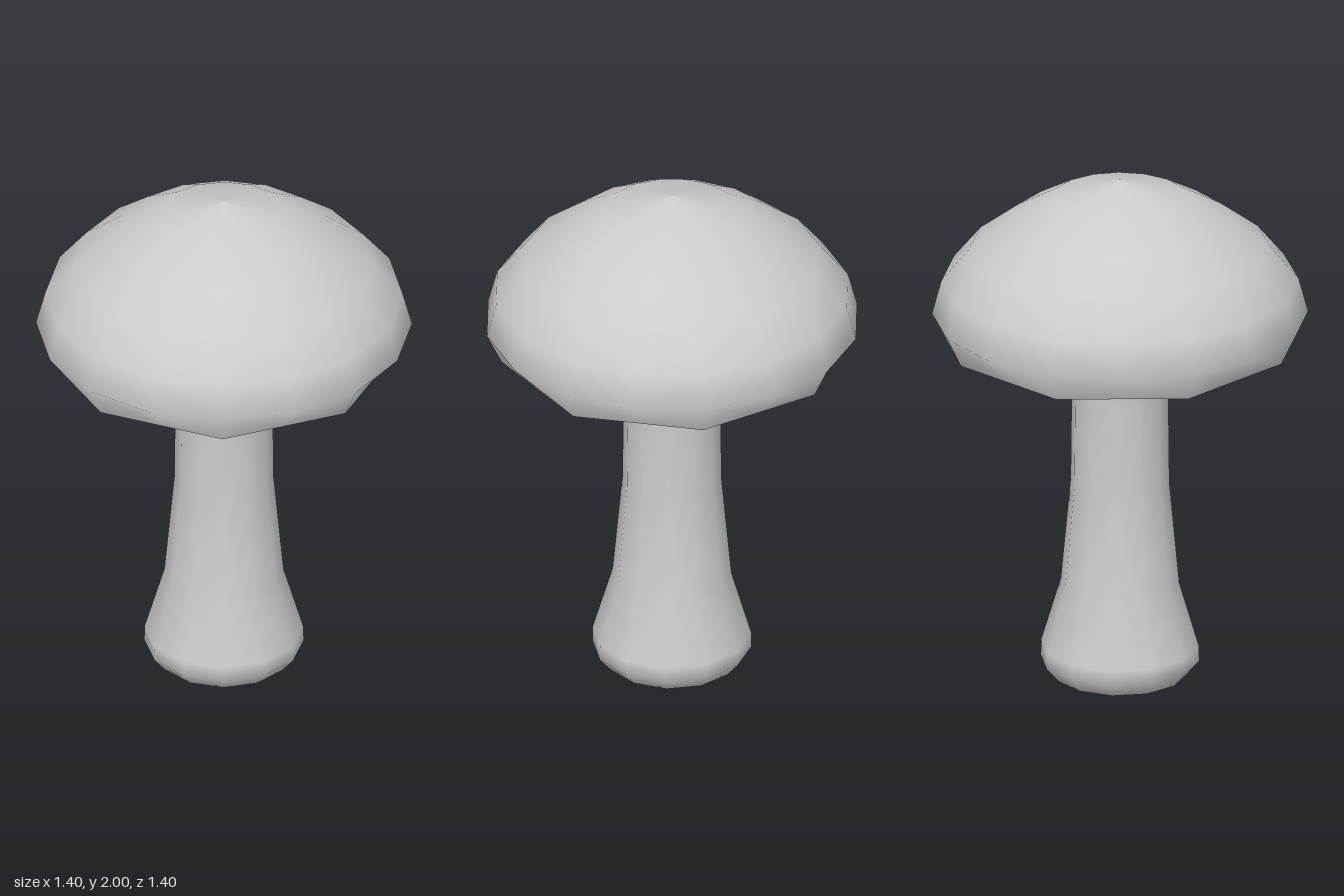
import * as THREE from 'three';

const material = new THREE.MeshStandardMaterial({ color: 0xcccccc });

// Smooth surface of revolution; the profile runs from bottom to top.
function turned(name, profile, sides) {
  const points = profile.map(([r, y]) => new THREE.Vector2(r, y));
  const mesh = new THREE.Mesh(new THREE.LatheGeometry(points, sides), material);
  mesh.name = name;
  return mesh;
}

export function createModel() {
  const group = new THREE.Group();
  group.name = 'mushroom';

  // Cap: sixteen-sided dome whose lower rim narrows to an octagon
  const rim = 0.645, rimY = 1.355;
  const cap = turned('cap', [
    [rim, rimY], [0.7, 1.47], [0.665, 1.6], [0.558, 1.73],
    [0.405, 1.845], [0.25, 1.932], [0, 2],
  ], 16);
  const pos = cap.geometry.attributes.position;
  const rows = pos.count / 17;
  for (let i = 1; i < 17; i += 2) {
    const k = i * rows;
    const s = Math.cos(Math.PI / 8);
    pos.setX(k, pos.getX(k) * s);
    pos.setZ(k, pos.getZ(k) * s);
  }
  group.add(cap);

  // Flat underside closing the cap with a crisp edge
  const underside = new THREE.Mesh(new THREE.CircleGeometry(rim, 8), material);
  underside.name = 'capUnderside';
  underside.rotation.x = Math.PI / 2;
  underside.position.y = rimY;
  group.add(underside);

  // Stem: bulbous foot, slim shaft and a small flare under the cap
  group.add(turned('stem', [
    [0, 0], [0.11, 0.006], [0.25, 0.035], [0.297, 0.09], [0.296, 0.15],
    [0.222, 0.4], [0.185, 0.8], [0.181, 1.17], [0.19, 1.335], [0.27, 1.356],
  ], 12));

  return group;
}
